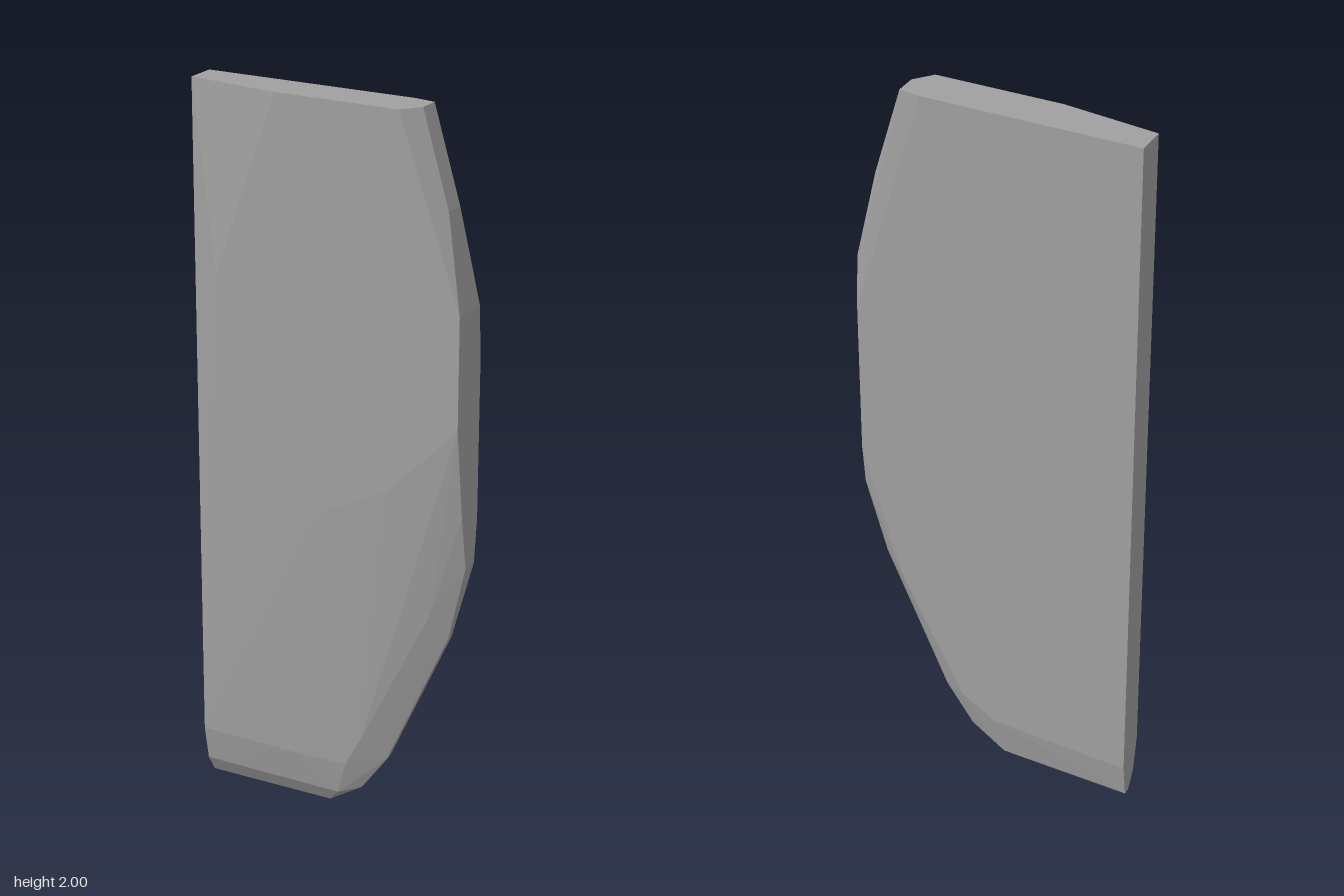
import * as THREE from 'three';
import { ConvexGeometry } from 'three/addons/geometries/ConvexGeometry.js';

export function createModel() {
  const stone = new THREE.MeshStandardMaterial({ color: 0xa0a0a0 });
  stone.name = 'grey stone';

  // corners of the flat front face
  const front = [[-0.13, 2], [0.22, 2], [0.395, 1.5], [0.395, 1.2], [0.2, 1.0], [0, 0.9], [-0.2, 1.05], [-0.31, 1.5]]
    .map(([x, y]) => [x, y, 0.06]);

  // corners of the flat back face
  const back = [[-0.395, 2], [0.2, 2], [0.395, 1.35], [0.395, 0.92], [0.28, 0.53], [0.1, 0.18], [0, 0.12], [-0.395, 0.1]]
    .map(([x, y]) => [x, y, -0.06]);

  // rim: x, y, front z, back z
  const rim = [
    [0.26, 2, 0.01, -0.05], [0.34, 1.75, 0.02, -0.04], [0.395, 1.5, 0.06, -0.05],
    [0.395, 0.8, 0, -0.047], [0.34, 0.58, -0.015, -0.035], [0.16, 0.18, -0.018, -0.036],
    [0.08, 0.07, -0.02, -0.038], [-0.02, 0.005, -0.025, -0.04], [-0.395, 0, -0.025, -0.045],
  ].flatMap(([x, y, f, b]) => [[x, y, f], [x, y, b]]);

  // bevelled corners between the front face and the rim
  const bevel = [
    [0.235, 2, 0.04], [-0.395, 2, 0.025], [-0.395, 0.15, 0.023], [-0.395, 0.05, 0.005],
    [0.395, 0.95, 0.027], [0.3, 0.65, 0.018], [0.1, 0.24, 0.019], [0.05, 0.15, 0.016],
    [-0.1, 0.15, 0.023], [0.02, 0.05, 0.002],
  ];

  const points = [...front, ...back, ...rim, ...bevel].map((p) => new THREE.Vector3(...p));
  const slab = new THREE.Mesh(new ConvexGeometry(points), stone);
  slab.name = 'facetedSlab';

  const model = new THREE.Group();
  model.name = 'stoneSlab';
  model.add(slab);
  return model;
}
